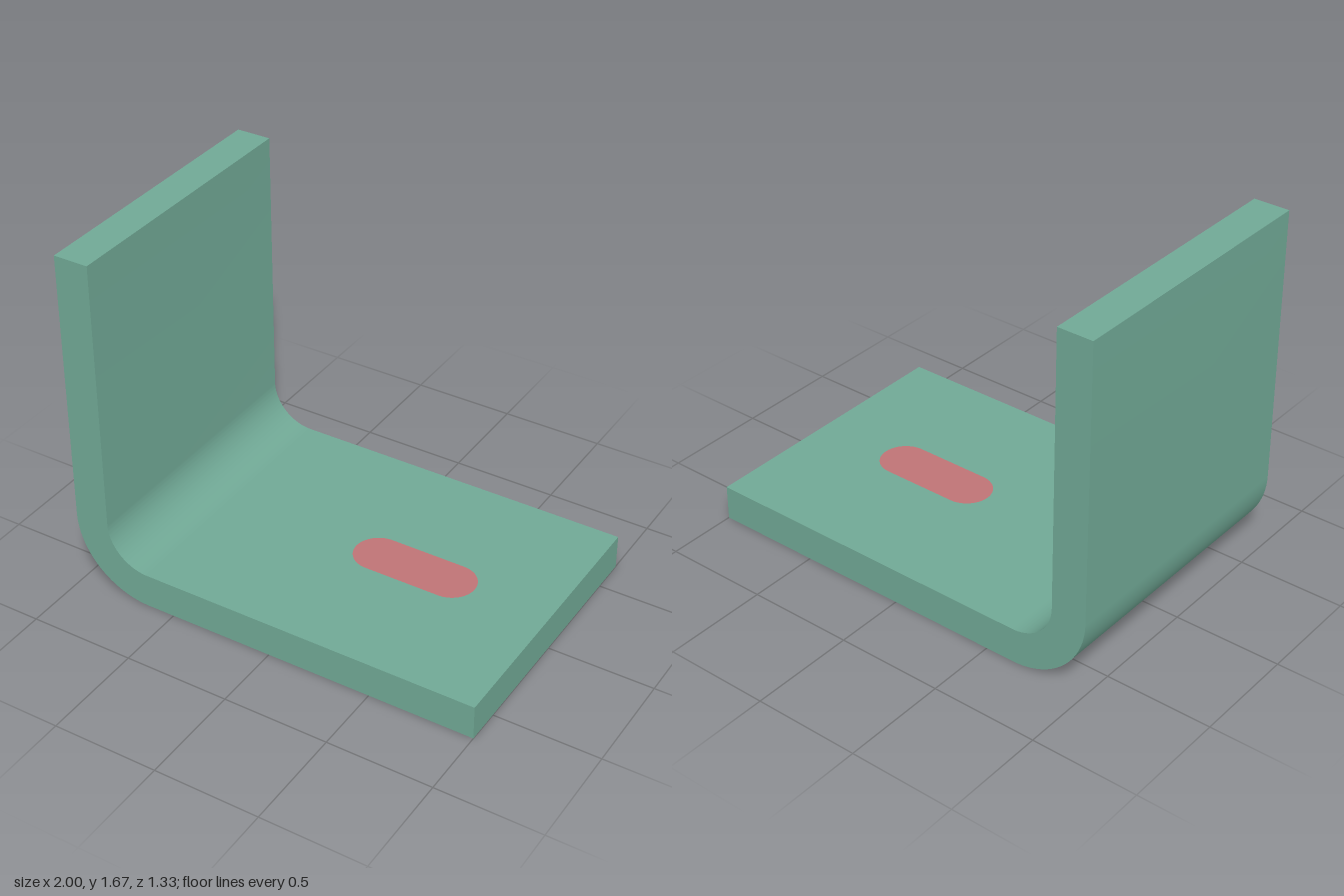
import * as THREE from 'three';
import { toCreasedNormals } from 'three/addons/utils/BufferGeometryUtils.js';

const T = 1 / 6;        // plate thickness
const H = 5 / 3;        // upright height
const D = 4 / 3;        // plate depth
const R = 0.367;        // outer bend radius
const BX = -1 + R;      // where the bend meets the flat plate

// Stadium outline of the slot, in plate coordinates
function slotOutline(PathType) {
  const r = 0.117, x0 = 0.033 + r, x1 = 0.633 - r;
  const p = new PathType();
  p.moveTo(x0, -r);
  p.lineTo(x1, -r);
  p.absarc(x1, 0, r, -Math.PI / 2, Math.PI / 2, false);
  p.lineTo(x0, r);
  p.absarc(x0, 0, r, Math.PI / 2, Math.PI * 1.5, false);
  return p;
}

// Extrude a plan shape upwards by the plate thickness
function plate(shape) {
  const g = new THREE.ExtrudeGeometry(shape, { depth: T, bevelEnabled: false, curveSegments: 24 });
  g.rotateX(-Math.PI / 2);
  return toCreasedNormals(g, 0.6);
}

export function createModel() {
  const green = new THREE.MeshStandardMaterial({ color: 0x70a895 });
  green.name = 'sage green';
  const red = new THREE.MeshStandardMaterial({ color: 0xbf7375 });
  red.name = 'dusty red';

  const group = new THREE.Group();
  group.name = 'angleBracket';
  const add = (name, geometry, material) => {
    const mesh = new THREE.Mesh(geometry, material);
    mesh.name = name;
    group.add(mesh);
  };

  // Upright wall with its rounded bend
  const wall = new THREE.Shape();
  wall.moveTo(BX, 0);
  wall.lineTo(BX, T);
  wall.absarc(BX, R, R - T, Math.PI * 1.5, Math.PI, true);
  wall.lineTo(-1 + T, H);
  wall.lineTo(-1, H);
  wall.lineTo(-1, R);
  wall.absarc(BX, R, R, Math.PI, Math.PI * 1.5, false);
  const wallGeometry = new THREE.ExtrudeGeometry(wall, { depth: D, bevelEnabled: false, curveSegments: 24 });
  wallGeometry.translate(0, 0, -D / 2);
  add('uprightAndBend', toCreasedNormals(wallGeometry, 0.6), green);

  // Flat base plate with the slot cut through
  const base = new THREE.Shape();
  base.moveTo(BX, -D / 2);
  base.lineTo(1, -D / 2);
  base.lineTo(1, D / 2);
  base.lineTo(BX, D / 2);
  base.holes.push(slotOutline(THREE.Path));
  add('basePlate', plate(base), green);

  // Flush insert filling the slot
  add('slotInsert', plate(slotOutline(THREE.Shape)), red);

  return group;
}
